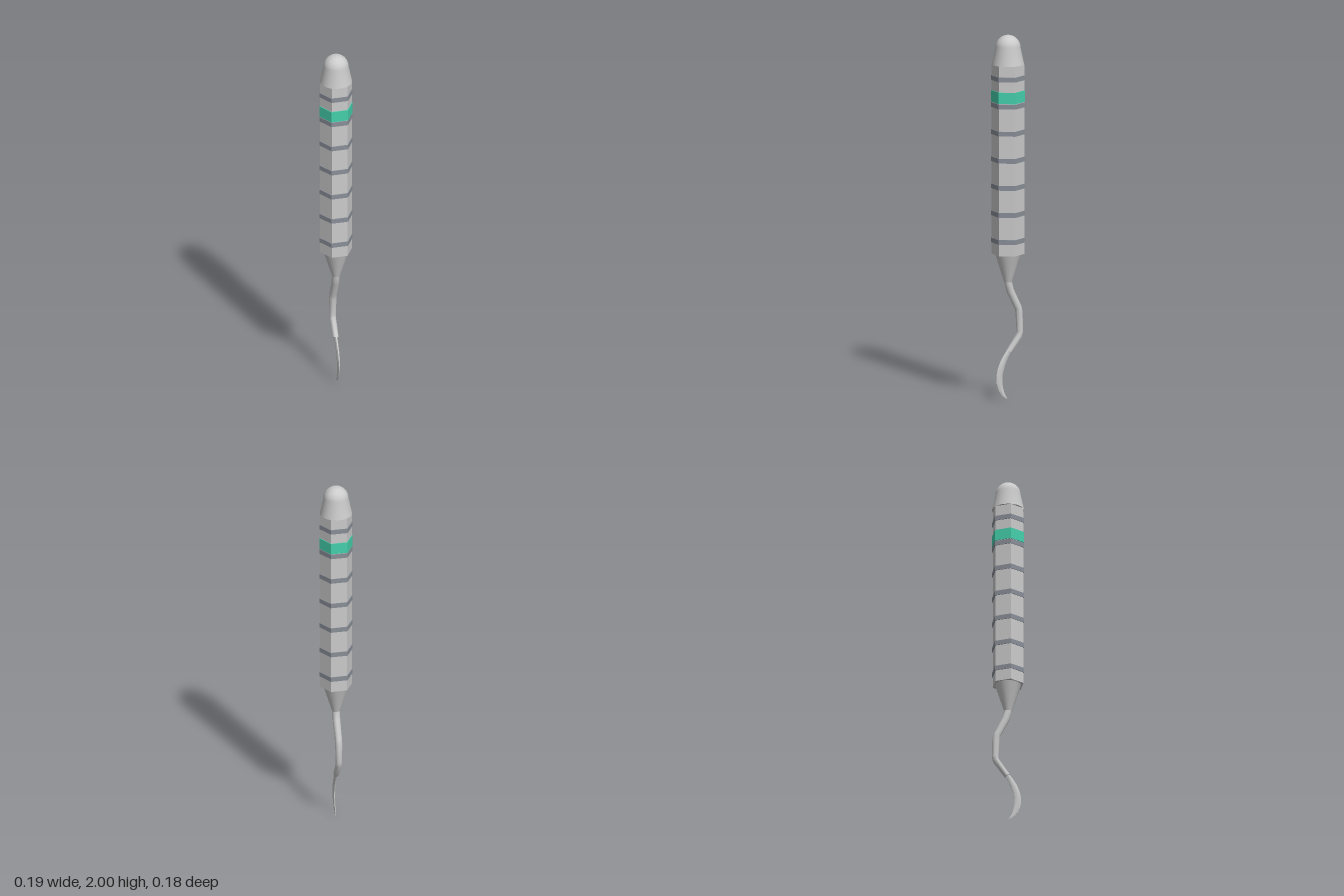
import * as THREE from 'three';
import { toCreasedNormals } from 'three/addons/utils/BufferGeometryUtils.js';

const steel = new THREE.MeshStandardMaterial({ color: 0xcccccc });
const darkSteel = new THREE.MeshStandardMaterial({ color: 0x8a8f98 });
const green = new THREE.MeshStandardMaterial({ color: 0x45d0ac });

// Elliptical sections [y, z, half width in x, half depth] skinned along a path in the yz plane
function loft(sections, sides) {
  const pos = [], index = [];
  sections.forEach(([y, z, rx, rd], i) => {
    const p = sections[Math.max(i - 1, 0)];
    const q = sections[Math.min(i + 1, sections.length - 1)];
    const len = Math.hypot(q[0] - p[0], q[1] - p[1]);
    const ty = (q[0] - p[0]) / len, tz = (q[1] - p[1]) / len;
    for (let j = 0; j < sides; j++) {
      const a = (j / sides) * Math.PI * 2;
      const s = Math.sin(a) * rd;
      pos.push(Math.cos(a) * rx, y + tz * s, z - ty * s);
      if (i === sections.length - 1) continue;
      const k = (j + 1) % sides, r = i * sides;
      index.push(r + j, r + k, r + sides + k, r + j, r + sides + k, r + sides + j);
    }
  });
  const geo = new THREE.BufferGeometry();
  geo.setAttribute('position', new THREE.Float32BufferAttribute(pos, 3));
  geo.setIndex(index);
  return toCreasedNormals(geo, 0.7);
}

export function createModel() {
  const model = new THREE.Group();
  model.name = 'dentalScaler';
  const add = (name, geo, mat, y = 0) => {
    const mesh = new THREE.Mesh(geo, mat);
    mesh.name = name;
    mesh.position.y = y;
    model.add(mesh);
  };
  // Hexagonal prism with corners on the x axis
  const hex = (r, h) => toCreasedNormals(
    new THREE.CylinderGeometry(r, r, h, 6, 1, false, Math.PI / 6), 0.5);

  // Handle, grip rings and colour band
  add('handle', hex(0.088, 1.04), steel, 1.32);
  for (let i = 0; i < 7; i++) add('gripRing', hex(0.092, 0.026), darkSteel, 0.876 + i * 0.1485);
  add('colourBand', hex(0.0925, 0.062), green, 1.666);

  // Tapered end cap with a domed top
  const cap = [new THREE.Vector2(0, 1.84), new THREE.Vector2(0.087, 1.84)];
  for (let i = 0; i <= 10; i++) {
    const a = (i / 10) * Math.PI / 2;
    cap.push(new THREE.Vector2(i === 10 ? 0 : 0.068 * Math.cos(a), 1.932 + 0.068 * Math.sin(a)));
  }
  add('endCap', toCreasedNormals(new THREE.LatheGeometry(cap, 32), 0.6), steel);

  // Cone joining the handle to the shank
  add('neck', new THREE.CylinderGeometry(0.07, 0.021, 0.155, 24), steel, 0.7225);

  // Bent round shank
  add('shank', loft([
    [0.68, 0, 0.021, 0.021],
    [0.645, -0.001, 0.021, 0.021],
    [0.595, -0.014, 0.021, 0.021],
    [0.5, -0.061, 0.02, 0.02],
    [0.475, -0.066, 0.02, 0.02],
    [0.37, -0.071, 0.018, 0.018],
    [0.348, -0.067, 0.018, 0.018],
    [0.262, -0.005, 0.016, 0.016],
    [0.2615, -0.0046, 0, 0],
  ], 14), steel);

  // Flattened, hooked blade
  add('blade', loft([
    [0.275, -0.012, 0.008, 0.012],
    [0.24, 0.012, 0.008, 0.015],
    [0.2, 0.033, 0.008, 0.018],
    [0.165, 0.046, 0.008, 0.019],
    [0.13, 0.053, 0.007, 0.019],
    [0.095, 0.052, 0.006, 0.018],
    [0.06, 0.043, 0.005, 0.015],
    [0.032, 0.03, 0.004, 0.011],
    [0.014, 0.015, 0.003, 0.006],
    [0.002, 0.001, 0, 0],
  ], 10), steel);

  return model;
}
